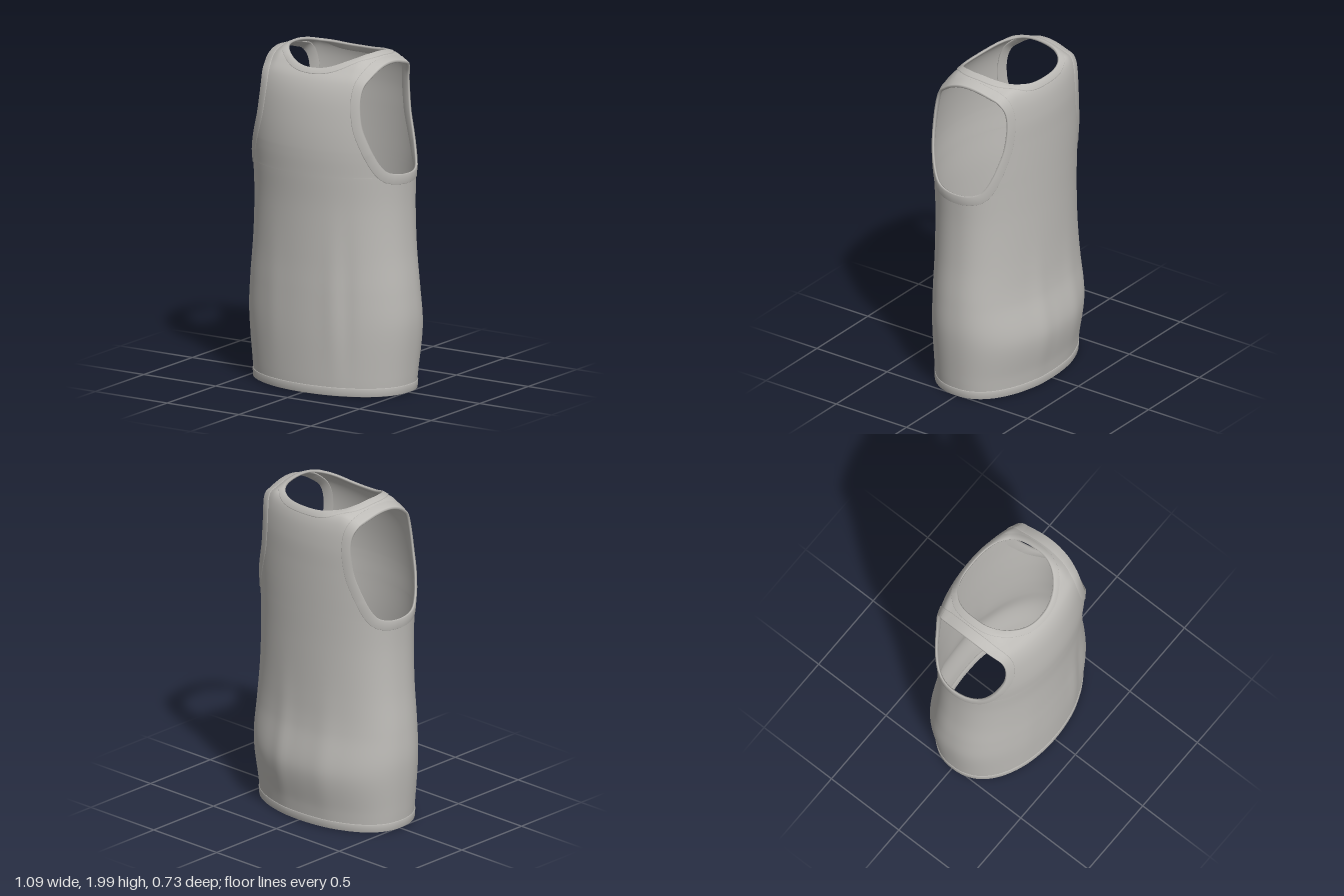
import * as THREE from 'three';
import { mergeVertices } from 'three/addons/utils/BufferGeometryUtils.js';

// Side profile (z, y): up the front, over the shoulder, down the back
const profile = [
  [.345, .01], [.35, .12], [.355, .35], [.353, .6], [.35, .8], [.352, 1.1], [.362, 1.305],
  [.367, 1.45], [.358, 1.6], [.335, 1.75], [.3, 1.85], [.25, 1.912], [.19, 1.96], [.1, 1.988],
  [0, 1.995], [-.1, 1.986], [-.2, 1.964], [-.262, 1.94], [-.295, 1.87], [-.31, 1.75], [-.311, 1.6],
  [-.31, 1.45], [-.308, 1.305], [-.306, 1.1], [-.308, .8], [-.32, .6], [-.358, .35], [-.325, .12], [-.312, .01],
];
const LAST = profile.length - 1;
const ARM = [6, 22], NECK = [11, 17]; // profile knots where the openings start and end
const curve = new THREE.CatmullRomCurve3(
  profile.map(([z, y]) => new THREE.Vector3(0, y, z)), false, 'catmullrom', 0.5);

// Half width of the body, and half width left between the armholes, by height
const widths = [[0, .508], [.12, .52], [.4, .543], [.6, .535], [.85, .513], [1.1, .504], [1.305, .51], [1.45, .52], [1.7, .53], [2, .53]];
const armEdge = [[1.305, .51], [1.315, .49], [1.33, .469], [1.36, .45], [1.4, .432], [1.5, .395], [1.6, .362],
  [1.7, .347], [1.78, .343], [1.85, .35], [1.92, .366], [2, .386]];

// Smooth interpolation through a table of [position, value]
function interp(table, t) {
  const n = table.length - 1;
  let i = 0;
  while (i < n - 1 && t > table[i + 1][0]) i++;
  const slope = (j) => {
    const a = table[Math.max(0, j - 1)], b = table[Math.min(n, j + 1)];
    return (b[1] - a[1]) / (b[0] - a[0]);
  };
  const [x0, y0] = table[i], [x1, y1] = table[i + 1], h = x1 - x0;
  const u = THREE.MathUtils.clamp((t - x0) / h, 0, 1), v = 1 - u;
  return y0 * (1 + 2 * u) * v * v + slope(i) * h * u * v * v + y1 * u * u * (3 - 2 * u) - slope(i + 1) * h * u * u * v;
}

const bump = (t, mid, w) => Math.exp(-(((t - mid) / w) ** 2));

// Cloth surface: k runs along the profile, a is the signed angle from the centre line
function cloth(k, a) {
  const p = curve.getPoint(k / LAST), c = Math.cos(a);
  const x = interp(widths, p.y) * Math.sin(a);
  // Soft hanging folds
  const fold = k < LAST / 2
    ? bump(p.y, .55, .38) * (.007 * bump(x, .2, .05) - .008 * bump(x, .28, .04) + .004 * bump(x, -.22, .06))
    : -bump(p.y, .45, .35) * (.01 * bump(x, .12, .06) + .008 * bump(x, -.2, .07));
  const z = p.z * Math.sign(c) * Math.abs(c) ** .88 + fold * c;
  // Shoulder slope
  const drop = .045 * THREE.MathUtils.smoothstep(Math.abs(x), .26, .386) * THREE.MathUtils.smoothstep(p.y, 1.8, 1.98);
  return new THREE.Vector3(x, p.y - drop, z);
}

function armAngle(k) {
  if (k <= ARM[0] || k >= ARM[1]) return Math.PI / 2;
  const y = curve.getPoint(k / LAST).y;
  return Math.asin(Math.min(1, interp(armEdge, y) / interp(widths, y)));
}

function neckAngle(k) {
  if (k <= NECK[0] || k >= NECK[1]) return 0;
  const { y, z } = curve.getPoint(k / LAST);
  const [depth, p] = z > 0 ? [.25, 2.3] : [.262, 3.2];
  const x = .28 * Math.max(0, 1 - (Math.abs(z) / depth) ** p) ** (1 / p);
  return Math.asin(x / interp(widths, y));
}

// Rows along the profile, closer together where an opening starts or ends
const rows = [];
for (let i = 0; i < LAST; i++) {
  for (let j = 0; j < 10; j++) {
    const t = j / 10;
    const starts = i === ARM[0] || i === NECK[0], ends = i === ARM[1] - 1 || i === NECK[1] - 1;
    rows.push(i + (starts ? t ** 3 : ends ? 1 - (1 - t) ** 3 : t));
  }
}
rows.push(LAST);

function gridGeometry(points, index) {
  let g = new THREE.BufferGeometry();
  g.setAttribute('position', new THREE.Float32BufferAttribute(points.flatMap((p) => p.toArray()), 3));
  g.setIndex(index);
  g = mergeVertices(g, 1e-5);
  g.computeVertexNormals();
  return g;
}

// Front, back and shoulder straps as one sheet
function bodyGeometry() {
  const points = [], index = [], cols = 28;
  for (const side of [1, -1]) {
    const base = points.length;
    rows.forEach((k, r) => {
      const a0 = neckAngle(k), a1 = armAngle(k);
      for (let j = 0; j <= cols; j++) {
        points.push(cloth(k, side * (a0 + (a1 - a0) * j / cols)));
        if (r === 0 || j === 0) continue;
        const d = base + r * (cols + 1) + j, c = d - 1, b = d - cols - 1, a = b - 1;
        if (side > 0) index.push(a, b, c, b, d, c);
        else index.push(a, c, b, b, c, d);
      }
    });
  }
  return gridGeometry(points, index);
}

// Folded band along a closed edge of [k, a] pairs; sign points it onto the cloth
function bandGeometry(edge, width, sign) {
  const section = [[width, -.01], [0, -.012], [-.005, -.003], [0, .006], [width * .9, .005], [width, -.002]];
  const n = edge.length, m = section.length, points = [], index = [];
  const pos = edge.map(([k, a]) => cloth(k, a));
  edge.forEach(([k, a], i) => {
    const k0 = Math.max(0, k - .02), k1 = Math.min(LAST, k + .02);
    const dk = cloth(k1, a).sub(cloth(k0, a)).divideScalar(k1 - k0);
    const da = cloth(k, a + .01).sub(cloth(k, a - .01)).divideScalar(.02);
    const normal = da.clone().cross(dk).normalize();
    const tangent = pos[(i + 1) % n].clone().sub(pos[(i + n - 1) % n]).normalize();
    const across = normal.clone().cross(tangent).normalize().multiplyScalar(sign);
    // Express the across direction in surface steps so the band follows the cloth
    const kk = dk.dot(dk), aa = da.dot(da), ka = dk.dot(da), det = kk * aa - ka * ka;
    const bk = across.dot(dk), ba = across.dot(da);
    const sk = (bk * aa - ba * ka) / det, sa = (ba * kk - bk * ka) / det;
    section.forEach(([d, lift], j) => {
      const p = d > 0
        ? cloth(THREE.MathUtils.clamp(k + sk * d, 0, LAST), a + sa * d)
        : pos[i].clone().addScaledVector(across, d);
      points.push(p.addScaledVector(normal, lift));
      const q = ((i + 1) % n) * m, r = i * m, j1 = (j + 1) % m;
      index.push(r + j, q + j, r + j1, q + j, q + j1, r + j1);
    });
  });
  return gridGeometry(points, index);
}

export function createModel() {
  const group = new THREE.Group();
  group.name = 'tankTop';
  const fabric = new THREE.MeshStandardMaterial({ color: 0xbdbbb7, side: THREE.DoubleSide });
  fabric.name = 'greyFabric';
  const add = (name, geometry) => {
    const mesh = new THREE.Mesh(geometry, fabric);
    mesh.name = name;
    group.add(mesh);
  };

  add('body', bodyGeometry());

  // Armhole bands
  const armRows = rows.filter((k) => k >= ARM[0] && k < ARM[1]);
  for (const side of [1, -1]) {
    add(side > 0 ? 'leftArmholeBand' : 'rightArmholeBand',
      bandGeometry(armRows.map((k) => [k, side * armAngle(k)]), .055, side));
  }

  // Neck band
  const neckRows = rows.filter((k) => k >= NECK[0] && k <= NECK[1]);
  const neck = [
    ...neckRows.map((k) => [k, neckAngle(k)]),
    ...neckRows.slice(1, -1).reverse().map((k) => [k, -neckAngle(k)]),
  ];
  add('neckBand', bandGeometry(neck, .04, -1));

  // Bottom hem
  const hem = [], steps = 48;
  for (let i = 0; i < steps; i++) hem.push([0, Math.PI * (i / steps - .5)]);
  for (let i = 0; i < steps; i++) hem.push([LAST, Math.PI * (.5 - i / steps)]);
  add('hem', bandGeometry(hem, .055, 1));

  return group;
}
